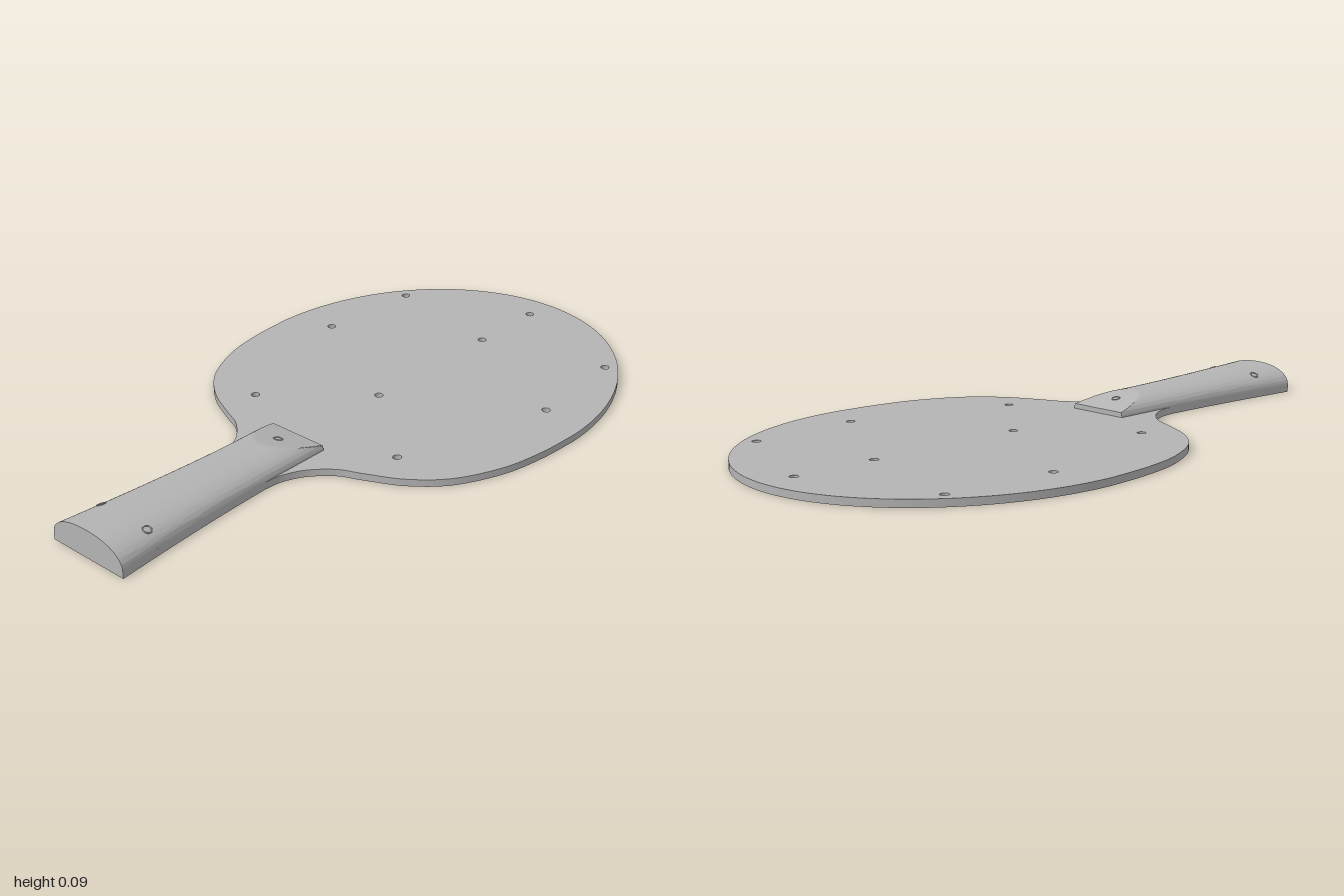
import * as THREE from 'three';
import { toCreasedNormals } from 'three/addons/utils/BufferGeometryUtils.js';

const THICK = 0.022; // blade thickness
const WALL = 0.022;  // handle wall thickness
const OPEN = [0.46, 0.965]; // z range of the hollow in the handle

// half width, crown height and front ramp of the handle along z
const halfWidth = z => 0.1 + 0.035 * Math.pow(Math.max(0, (z - 0.42) / 0.58), 1.6);
const crown = z => 0.073 + 0.014 * Math.pow(Math.max(0, (z - 0.4) / 0.6), 1.2);
const ramp = z => 0.037 + (z - 0.225) * 0.235;

// height of the handle's outer skin at a point
function skinHeight(x, z) {
  const f = Math.pow(1 - Math.pow(Math.abs(x) / halfWidth(z), 2.2), 1 / 2.2);
  return Math.min(THICK + (crown(z) - THICK) * f, ramp(z));
}

// domed skin lofted along z with closed ends; inset > 0 makes the inner side
function loftHandle(z0, z1, inset) {
  const rows = 64, cols = 48, pos = [], idx = [];
  const tri = (a, b, c) => (inset ? idx.push(a, c, b) : idx.push(a, b, c));
  for (let i = 0; i <= rows; i++) {
    const z = z0 + (z1 - z0) * i / rows;
    const w = halfWidth(z) - inset, h = crown(z) - inset * 0.6 - THICK;
    for (let j = 0; j <= cols; j++) {
      const t = Math.PI * j / cols, c = Math.cos(t), s = Math.max(0, Math.sin(t));
      const x = w * Math.sign(c) * Math.pow(Math.abs(c), 2 / 2.2);
      pos.push(x, Math.min(THICK + h * Math.pow(s, 2 / 2.2), ramp(z)), z);
    }
  }
  const n = cols + 1;
  for (let i = 0; i < rows; i++) {
    for (let j = 0; j < cols; j++) {
      const a = i * n + j;
      tri(a, a + 1, a + n);
      tri(a + 1, a + n + 1, a + n);
    }
  }
  // end caps
  pos.push(0, THICK, z0, 0, THICK, z1);
  const first = n * (rows + 1), last = first + 1;
  for (let j = 0; j < cols; j++) {
    tri(first, j + 1, j);
    tri(last, rows * n + j, rows * n + j + 1);
  }
  const g = new THREE.BufferGeometry();
  g.setAttribute('position', new THREE.Float32BufferAttribute(pos, 3));
  g.setIndex(idx);
  return toCreasedNormals(g, 0.4);
}

// outline of the blade and the handle tongue, with all its holes
function bladeGeometry() {
  const right = [];
  for (let i = 0; i < 48; i++) {
    const t = Math.PI / 2 * i / 48;
    right.push(new THREE.Vector2(0.577 * Math.sin(t), -0.32 - 0.68 * Math.cos(t)));
  }
  const lower = new THREE.SplineCurve([
    [0.577, -0.32], [0.567, -0.18], [0.538, -0.04], [0.47, 0.1], [0.376, 0.19],
    [0.27, 0.245], [0.2, 0.277], [0.14, 0.335], [0.108, 0.4], [0.1, 0.46],
  ].map(p => new THREE.Vector2(...p)));
  right.push(...lower.getPoints(70));
  for (let i = 1; i <= 24; i++) {
    const z = 0.46 + 0.54 * i / 24;
    right.push(new THREE.Vector2(halfWidth(z), z));
  }
  const left = right.slice(1).reverse().map(p => new THREE.Vector2(-p.x, p.y));
  const shape = new THREE.Shape([...right, ...left]);

  // round screw holes
  const holes = [[0, -0.9], [0, -0.64], [0, -0.13], [0, 0.305]];
  for (const s of [-1, 1]) {
    holes.push([s * 0.405, -0.74], [s * 0.43, -0.39], [s * 0.28, 0.115], [s * 0.085, 0.305]);
  }
  for (const [x, z] of holes) {
    shape.holes.push(new THREE.Path().absarc(x, z, 0.013, 0, Math.PI * 2, true));
  }

  // long opening under the handle
  const side = [];
  for (let i = 0; i <= 20; i++) {
    const z = OPEN[0] + (OPEN[1] - OPEN[0]) * i / 20;
    side.push(new THREE.Vector2(halfWidth(z) - WALL, z));
  }
  const mirror = side.slice().reverse().map(p => new THREE.Vector2(-p.x, p.y));
  shape.holes.push(new THREE.Path([...side, ...mirror]));

  const g = new THREE.ExtrudeGeometry(shape, { depth: THICK, bevelEnabled: false, curveSegments: 10 });
  g.rotateX(Math.PI / 2).translate(0, THICK, 0);
  return toCreasedNormals(g, 0.5);
}

export function createModel() {
  const group = new THREE.Group();
  const grey = new THREE.MeshStandardMaterial({ color: 0xb4b4b4 });
  grey.name = 'plain grey';
  const add = (name, geometry) => {
    const mesh = new THREE.Mesh(geometry, grey);
    mesh.name = name;
    group.add(mesh);
    return mesh;
  };

  add('blade', bladeGeometry());
  add('handleShell', loftHandle(0.225, 1, 0));
  add('handleHollow', loftHandle(OPEN[0], OPEN[1], WALL));

  // screw rims lying on the handle skin
  for (const [x, z] of [[0, 0.305], [-0.09, 0.875], [0.09, 0.875]]) {
    const rim = add('screwRim', new THREE.TorusGeometry(0.012, 0.002, 8, 24));
    const e = 0.005;
    const normal = new THREE.Vector3(
      skinHeight(x - e, z) - skinHeight(x + e, z), 2 * e,
      skinHeight(x, z - e) - skinHeight(x, z + e)).normalize();
    rim.position.set(x, skinHeight(x, z), z);
    rim.quaternion.setFromUnitVectors(new THREE.Vector3(0, 0, 1), normal);
  }

  // screw bosses inside the hollow
  for (const s of [-1, 1]) {
    const ring = new THREE.Shape().absarc(0, 0, 0.017, 0, Math.PI * 2, false);
    ring.holes.push(new THREE.Path().absarc(0, 0, 0.01, 0, Math.PI * 2, true));
    const g = new THREE.ExtrudeGeometry(ring, { depth: 0.045, bevelEnabled: false, curveSegments: 12 });
    g.rotateX(Math.PI / 2);
    add('screwBoss', toCreasedNormals(g, 0.6)).position.set(s * 0.085, 0.05, 0.875);
  }
  return group;
}
